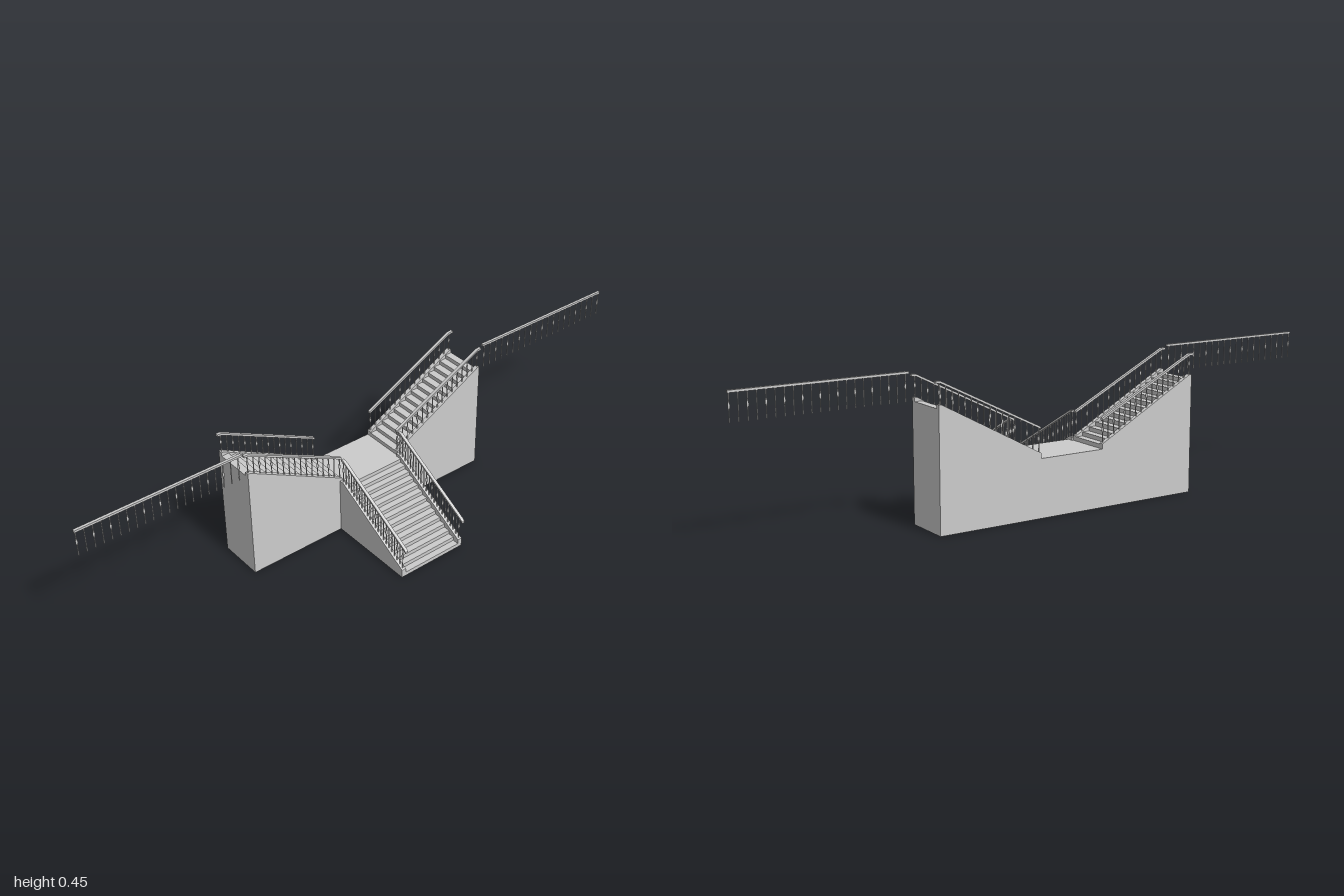
import * as THREE from 'three';
import { mergeGeometries } from 'three/addons/utils/BufferGeometryUtils.js';

const grey = new THREE.MeshStandardMaterial({ color: 0xcccccc, side: THREE.DoubleSide });
const WALL = 0.0145;

function add(parent, name, geometry) {
  const mesh = new THREE.Mesh(geometry, grey);
  mesh.name = name;
  parent.add(mesh);
  return mesh;
}

// Flat outline extruded symmetrically about z = 0, moved to the given z
function slab(points, depth, z = 0) {
  const shape = new THREE.Shape(points.map(p => new THREE.Vector2(p[0], p[1])));
  return new THREE.ExtrudeGeometry(shape, { depth, bevelEnabled: false }).translate(0, 0, z - depth / 2);
}

// Height of a polyline at u
function heightAt(line, u) {
  for (let i = 1; i < line.length; i++) {
    const [a, b] = [line[i - 1], line[i]];
    if (u <= b[0]) return a[1] + (b[1] - a[1]) * (u - a[0]) / (b[0] - a[0]);
  }
  return line[line.length - 1][1];
}

// Turned spindle of unit height; every other one has a bulb in the middle
function spindleGeometry(bulb) {
  const profile = bulb
    ? [[0.0021, 0], [0.0021, 0.12], [0.0014, 0.16], [0.0015, 0.4], [0.0036, 0.5], [0.0034, 0.58], [0.0014, 0.7], [0.002, 0.88], [0.002, 1]]
    : [[0.0021, 0], [0.0021, 0.12], [0.0015, 0.16], [0.0018, 0.5], [0.0015, 0.84], [0.0021, 0.88], [0.0021, 1]];
  return new THREE.LatheGeometry(profile.map(p => new THREE.Vector2(...p)), 8);
}
const spindles = [spindleGeometry(true), spindleGeometry(false)];

// Handrail along a line, with spindles standing on a base line
function railing(parent, base, rail, from, to, count, z, width = 0.01, half = 0.0035) {
  const outline = [
    ...rail.map(p => [p[0], p[1] - half]),
    ...rail.map(p => [p[0], p[1] + half]).reverse(),
  ];
  add(parent, 'handrail', slab(outline, width, z));
  const parts = [];
  for (let i = 0; i < count; i++) {
    const u = from + (to - from) * i / (count - 1);
    const y = heightAt(base, u);
    parts.push(spindles[i % 2].clone().scale(1, heightAt(rail, u) - y, 1).translate(u, y, z));
  }
  add(parent, 'balusters', mergeGeometries(parts));
}

// Flight climbing along local +x: hollow steps between two full-height side walls
function flight(name, { run, rise, bottom, width, steps, wallTop, rail, from, to, count }) {
  const g = new THREE.Group();
  g.name = name;
  const inner = width - 2 * WALL;
  const going = run / steps, up = rise / steps;
  const parts = [];
  for (let i = 0; i < steps; i++) {
    parts.push(
      new THREE.PlaneGeometry(inner, up).rotateY(-Math.PI / 2).translate(i * going, bottom + (i + 0.5) * up, 0),
      new THREE.PlaneGeometry(going, inner).rotateX(-Math.PI / 2).translate((i + 0.5) * going, bottom + (i + 1) * up, 0),
    );
  }
  add(g, 'steps', mergeGeometries(parts));
  for (const s of [-1, 1]) {
    const z = s * (width - WALL) / 2;
    add(g, 'sideWall', slab([[0, 0], ...wallTop, [run, 0]], WALL, z));
    railing(g, wallTop, rail, from, to, count, z);
  }
  return g;
}

export function createModel() {
  const model = new THREE.Group();
  model.name = 'doubleStaircase';

  // Central flight, climbing toward the back
  const central = flight('centralFlight', {
    run: 0.3, rise: 0.18, bottom: 0, width: 0.24, steps: 14,
    wallTop: [[0, 0.028], [0.283, 0.19], [0.3, 0.19]],
    rail: [[-0.012, 0.102], [-0.005, 0.109], [0.283, 0.269], [0.294, 0.27]],
    from: 0.006, to: 0.29, count: 23,
  });
  central.rotation.y = Math.PI / 2;
  central.position.z = 0.22;
  model.add(central);

  // Landing where the flights meet
  add(model, 'landing', new THREE.PlaneGeometry(0.22, 0.15).rotateX(-Math.PI / 2).translate(0, 0.18, -0.155));
  add(model, 'landingBackWall', new THREE.BoxGeometry(0.22, 0.18, WALL).translate(0, 0.09, -0.23 + WALL / 2));

  for (const s of [1, -1]) {
    // Side flight, climbing outward
    const side = flight(s > 0 ? 'leftFlight' : 'rightFlight', {
      run: 0.34, rise: 0.182, bottom: 0.18, width: 0.15, steps: 14,
      wallTop: [[0, 0.196], [0.332, 0.374], [0.34, 0.374]],
      rail: [[0, 0.27], [0.332, 0.436], [0.347, 0.437]],
      from: 0.005, to: 0.335, count: 17,
    });
    add(side, 'endWall', new THREE.PlaneGeometry(0.15 - 2 * WALL, 0.362).rotateY(Math.PI / 2).translate(0.34, 0.181, 0));
    side.rotation.y = s > 0 ? 0 : Math.PI;
    side.position.set(s * 0.11, 0, -0.155);
    model.add(side);

    // Level balustrade beyond the top of the side flight
    const gallery = new THREE.Group();
    gallery.name = s > 0 ? 'leftGalleryRailing' : 'rightGalleryRailing';
    railing(gallery, [[0.46, 0.362], [1, 0.362]], [[0.465, 0.446], [1, 0.446]], 0.475, 0.996, 21, 0, 0.009);
    gallery.rotation.y = s > 0 ? 0 : Math.PI;
    gallery.position.z = -0.087;
    model.add(gallery);
  }
  return model;
}
